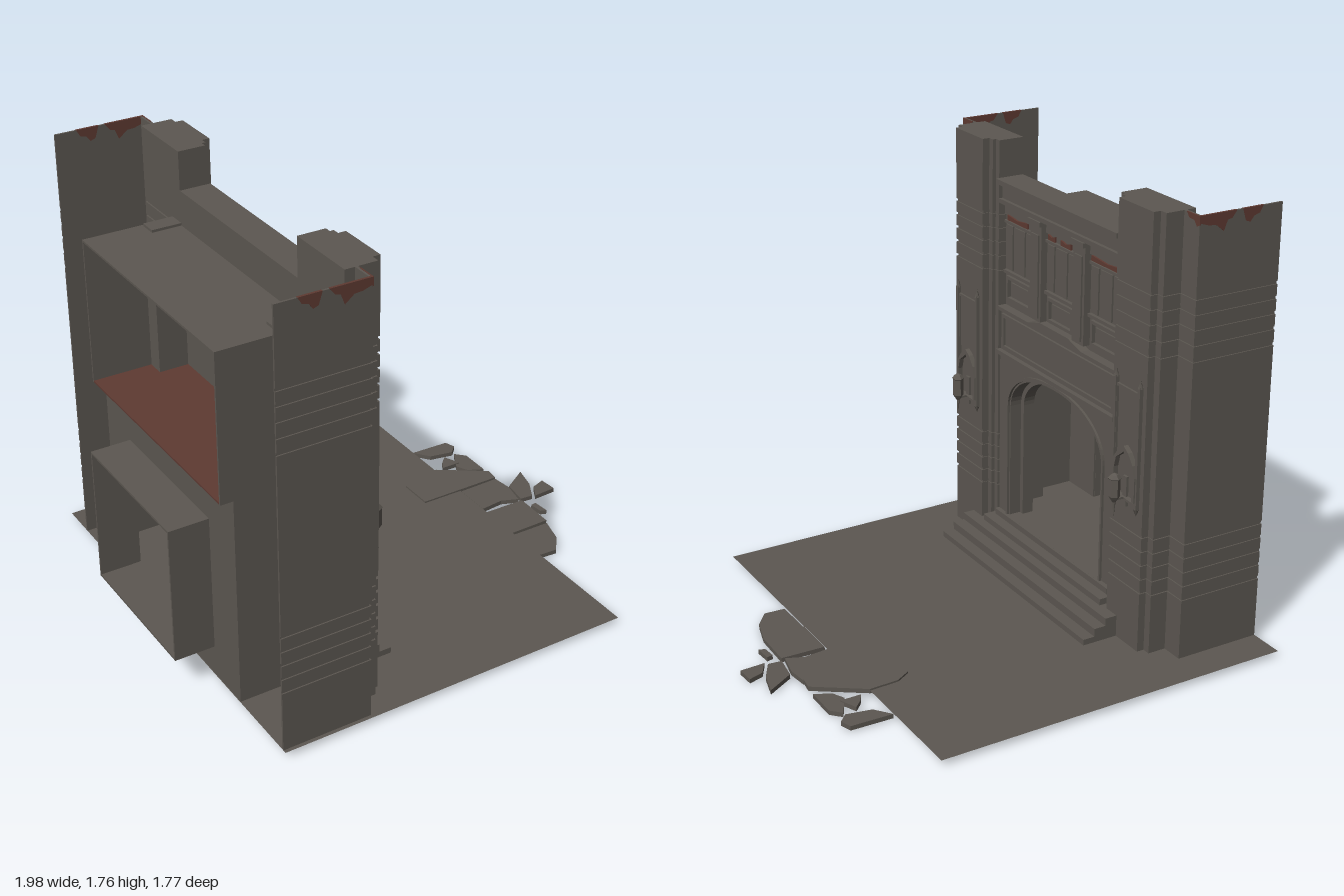
import * as THREE from 'three';

const C = 0.06; // centre line of the facade along z; the facade faces +x

export function createModel() {
  const root = new THREE.Group();
  root.name = 'ruinedGatehouse';
  const mat = (name, color) => {
    const m = new THREE.MeshStandardMaterial({ color, side: THREE.DoubleSide });
    m.name = name;
    return m;
  };
  const stone = mat('weathered stone', 0x5c5751);
  const rust = mat('exposed brick red', 0x5e3a32);

  const add = (name, geo, m = stone) => {
    const mesh = new THREE.Mesh(geo, m);
    mesh.name = name;
    root.add(mesh);
    return mesh;
  };
  // Box given by its limits; w is measured along z from the centre line
  const box = (name, x0, x1, y0, y1, w0, w1, m) => {
    const g = new THREE.BoxGeometry(x1 - x0, y1 - y0, Math.abs(w1 - w0));
    g.translate((x0 + x1) / 2, (y0 + y1) / 2, C + (w0 + w1) / 2);
    return add(name, g, m);
  };
  const V = (a) => a.map(([x, y]) => new THREE.Vector2(x, y));
  // Upright plate facing +x from (w, y) outlines
  const plate = (name, pts, x0, x1, holes = [], m) => {
    const flip = (a) => V(a.map(([w, y]) => [-(C + w), y]));
    const s = new THREE.Shape(flip(pts));
    holes.forEach((h) => s.holes.push(new THREE.Path(flip(h))));
    const g = new THREE.ExtrudeGeometry(s, { depth: x1 - x0, bevelEnabled: false });
    g.rotateY(Math.PI / 2);
    g.translate(x0, 0, 0);
    return add(name, g, m);
  };
  // Vertical prism from an (x, z) outline
  const prism = (name, pts, y0, y1, m) => {
    const s = new THREE.Shape(V(pts.map(([x, z]) => [x, -z])));
    const g = new THREE.ExtrudeGeometry(s, { depth: y1 - y0, bevelEnabled: false });
    g.rotateX(-Math.PI / 2);
    g.translate(0, y0, 0);
    return add(name, g, m);
  };
  const rect = (w0, w1, y0, y1) => [[w0, y0], [w1, y0], [w1, y1], [w0, y1]];
  const frame = (name, w0, w1, y0, y1, t, x0, x1) =>
    plate(name, rect(w0, w1, y0, y1), x0, x1, [rect(w0 + t, w1 - t, y0 + t, y1 - t)]);
  // Flattened arch outline
  const arch = (hw, spring, top, base) => {
    const pts = [[-hw, base]];
    for (let i = 0; i <= 32; i++) {
      const t = -Math.cos((i / 32) * Math.PI);
      pts.push([hw * t, spring + (top - spring) * Math.pow(Math.max(0, 1 - Math.abs(t) ** 2.3), 0.5)]);
    }
    pts.push([hw, base]);
    return pts;
  };

  // Ground sheet
  const ground = new THREE.PlaneGeometry(1.47, 1.77);
  ground.rotateX(-Math.PI / 2);
  ground.translate(-0.085, 0.026, -0.005);
  add('ground', ground);

  // Towers: stacked courses parted by narrow grooves
  const grooves = [0.277, 0.335, 0.393, 0.451, 0.509, 1.227, 1.288, 1.347, 1.404, 1.461];
  const core = [[-0.51, 0.42], [-0.4, 0.42], [-0.4, 0.445], [-0.385, 0.445], [-0.385, 0.472], [-0.355, 0.472],
    [-0.355, 0.682], [-0.385, 0.682], [-0.385, 0.715], [-0.51, 0.715]];
  const skin = (o) => [[-0.82, o], [o - 1.265, o], [o - 1.265, 0.71], [-0.472, 0.71], [-0.472, 0.797], [-0.82, 0.797]];
  for (const s of [1, -1]) {
    const place = (pts) => pts.map(([x, w]) => [x, C + s * w]);
    const coreIn = core.map(([x, w]) => [-0.43 + (x + 0.43) * 0.92, 0.57 + (w - 0.57) * 0.96]);
    let y = 0.026;
    for (const g of [...grooves, 1.766]) {
      const top = g === 1.766 ? 1.76 : g - 0.006;
      prism('towerCourse', place(core), y, top);
      prism('towerSideCourse', place(skin(0.805)), y, top);
      if (top < 1.7) {
        prism('towerGroove', place(coreIn), top, g + 0.006);
        prism('towerSideGroove', place(skin(0.8)), top, g + 0.006);
      }
      y = g + 0.006;
    }
    // Broken red patches along the tower top
    const patches = [
      [[-0.735, 1.761], [-0.72, 1.735], [-0.695, 1.728], [-0.68, 1.708], [-0.66, 1.715], [-0.645, 1.761]],
      [[-0.62, 1.761], [-0.6, 1.735], [-0.58, 1.73], [-0.565, 1.692], [-0.53, 1.72], [-0.5, 1.722], [-0.46, 1.735], [-0.46, 1.761]]];
    for (const p of patches) {
      const g = new THREE.ExtrudeGeometry(new THREE.Shape(V(p)), { depth: 0.0095, bevelEnabled: false });
      g.translate(0, 0, C + s * 0.8012 - 0.00475);
      add('sideRedPatch', g, rust);
    }
    plate('frontRedPatch', [[s * 0.73, 1.761], [s * 0.745, 1.742], [s * 0.775, 1.74], [s * 0.79, 1.72], [s * 0.806, 1.728], [s * 0.806, 1.761]],
      -0.464, -0.459, [], rust);

    // Niche panel with finials and pointed canopy
    const m = s * 0.577;
    frame('nichePanel', m - 0.078, m + 0.078, 0.62, 1.07, 0.01, -0.355, -0.346);
    for (const e of [-1, 1]) {
      const w = m + e * 0.076;
      box('nicheShaft', -0.355, -0.34, 0.61, 1.1, w - 0.007, w + 0.007);
      const tip = new THREE.ConeGeometry(0.012, 0.035, 4);
      tip.translate(-0.347, 1.112, C + w);
      add('nicheFinial', tip);
      const foot = new THREE.ConeGeometry(0.011, 0.03, 6);
      foot.rotateX(Math.PI);
      foot.translate(-0.347, 0.6, C + w);
      add('nicheFoot', foot);
    }
    const pointed = (h, top) => [[m - h, 0.64], [m - h, 0.74], [m - h * 0.8, 0.785], [m - h * 0.4, top - 0.02], [m, top],
      [m + h * 0.4, top - 0.02], [m + h * 0.8, 0.785], [m + h, 0.74], [m + h, 0.64]];
    plate('nicheArch', pointed(0.075, 0.845), -0.355, -0.335, [pointed(0.058, 0.822)]);

    // Hanging lantern
    const lathe = new THREE.LatheGeometry(V([[0, 0.56], [0.004, 0.6], [0.006, 0.625], [0.016, 0.64], [0.022, 0.65], [0.022, 0.72],
      [0.026, 0.724], [0.014, 0.738], [0, 0.745]]), 6).toNonIndexed();
    lathe.computeVertexNormals();
    lathe.translate(-0.3, 0, C + m);
    add('lantern', lathe);
    box('lanternArm', -0.355, -0.3, 0.632, 0.64, m - 0.005, m + 0.005);
    box('lanternBackplate', -0.355, -0.345, 0.6, 0.72, m - 0.012, m + 0.012);

    // Rear corner column and room side walls
    box('rearColumn', -0.63, -0.51, 0.03, 1.48, s * 0.42, s * 0.49);
    box('lowerRoomSide', -0.82, -0.51, 0.03, 0.885, s * 0.492, s * 0.5);
    box('upperRoomSide', -0.87, -0.51, 0.885, 1.47, s * 0.492, s * 0.5);
    box('vestibuleSide', -0.98, -0.82, 0.155, 0.71, s * 0.304, s * 0.312);
  }

  // Gate wall with layered arch
  plate('gateWall', rect(-0.42, 0.42, 0.16, 0.87), -0.46, -0.41, [arch(0.335, 0.66, 0.842, 0.161)]);
  plate('archReveal', rect(-0.42, 0.42, 0.16, 0.87), -0.51, -0.46, [arch(0.313, 0.66, 0.825, 0.161)]);
  plate('archMoulding', arch(0.352, 0.66, 0.862, 0.165), -0.41, -0.4, [arch(0.342, 0.66, 0.85, 0.1651)]);
  box('lowerCornice', -0.46, -0.39, 0.87, 0.888, -0.42, 0.42);

  // Sign band with raised centre
  const crest = (h, y, base, rise) => [[-h, base], [h, base], [h, y], [0.18, y], [0.1, y + rise], [-0.1, y + rise], [-0.18, y], [-h, y]];
  box('upperWall', -0.51, -0.435, 0.87, 1.6, -0.42, 0.42);
  plate('signBand', crest(0.42, 1.06, 0.888, 0.025), -0.435, -0.415);
  plate('signFrame', crest(0.405, 1.045, 0.892, 0), -0.415, -0.405, [rect(-0.388, 0.388, 0.91, 1.03)]);
  plate('signCapping', [[-0.42, 1.06], [-0.18, 1.06], [-0.1, 1.085], [0.1, 1.085], [0.18, 1.06], [0.42, 1.06],
    [0.42, 1.075], [0.19, 1.075], [0.1, 1.1], [-0.1, 1.1], [-0.19, 1.075], [-0.42, 1.075]], -0.435, -0.395);

  // Window bays
  for (const b of [-0.305, 0, 0.305]) {
    frame('sillPanel', b - 0.09, b + 0.09, 1.105, 1.207, 0.013, -0.435, -0.42);
    box('sillPanelField', -0.435, -0.428, 1.13, 1.182, b - 0.066, b + 0.066);
    box('windowSill', -0.435, -0.42, 1.215, 1.228, b - 0.11, b + 0.11);
    box('windowPanel', -0.435, -0.425, 1.235, 1.42, b - 0.04, b + 0.04);
    for (const e of [-1, 1]) box('windowSidePanel', -0.435, -0.425, 1.235, 1.42, b + e * 0.05, b + e * 0.1);
    box('windowHead', -0.435, -0.425, 1.462, 1.5, b - 0.11, b + 0.11);
    box('windowRail', -0.435, -0.422, 1.425, 1.436, b - 0.11, b + 0.11);
  }
  for (const [a, b] of [[0.25, 0.4], [0.05, 0.1], [-0.06, 0.01], [-0.14, -0.1], [-0.41, -0.2]])
    plate('redPatch', [[a, 1.437], [b, 1.437], [b, 1.458], [(a + b) / 2, 1.45], [a, 1.46]], -0.435, -0.427, [], rust);
  for (const s of [-1, 1]) {
    box('pilaster', -0.435, -0.405, 1.095, 1.49, s * 0.112, s * 0.192);
    box('pilasterFace', -0.405, -0.398, 1.11, 1.45, s * 0.125, s * 0.179);
    box('pilasterCap', -0.435, -0.392, 1.488, 1.507, s * 0.108, s * 0.196);
  }

  // Parapet
  box('parapetMoulding', -0.46, -0.4, 1.507, 1.525, -0.42, 0.42);
  box('parapet', -0.51, -0.415, 1.525, 1.588, -0.42, 0.42);
  box('parapetCoping', -0.51, -0.385, 1.588, 1.608, -0.42, 0.42);

  // Steps
  [[-0.205, 0.015, 0.05, 0.54], [-0.255, 0.05, 0.083, 0.54], [-0.305, 0.083, 0.114, 0.54], [-0.345, 0.114, 0.14, 0.44], [-0.39, 0.14, 0.165, 0.42]]
    .forEach(([x, y0, y1, h]) => box('step', -0.51, x, y0, y1, -h, h));

  // Rear rooms: lower hall, vestibule and open upper room
  box('hallFloor', -0.82, -0.5, 0.155, 0.163, -0.5, 0.5);
  plate('hallBackWall', rect(-0.5, 0.5, 0.03, 0.885), -0.82, -0.812, [rect(-0.305, 0.305, 0.163, 0.705)]);
  box('vestibuleFloor', -0.98, -0.82, 0.155, 0.163, -0.312, 0.312);
  box('vestibuleRoof', -0.98, -0.82, 0.702, 0.71, -0.312, 0.312);
  box('upperRoomFloor', -0.87, -0.51, 0.885, 0.892, -0.492, 0.492, rust);
  box('upperRoomRoof', -0.87, -0.51, 1.462, 1.47, -0.5, 0.5);

  // Broken paving slabs: [height, outline in x and z]
  const slabs = [
    [0.012, [[0.65, -0.54], [0.82, -0.535], [0.835, -0.49], [0.8, -0.455], [0.7, -0.475]]],
    [0.01, [[0.8, -0.44], [0.838, -0.4], [0.838, -0.27], [0.775, -0.3], [0.75, -0.35]]],
    [0.014, [[0.71, -0.4], [0.745, -0.435], [0.775, -0.365], [0.69, -0.365]]],
    [0.021, [[0.47, -0.32], [0.53, -0.355], [0.65, -0.36], [0.838, -0.23], [0.83, -0.175], [0.47, -0.175]]],
    [0.015, [[0.65, -0.168], [0.83, -0.172], [0.84, -0.09], [0.82, 0.008], [0.75, -0.02], [0.65, -0.01]]],
    [0.01, [[0.835, 0.005], [0.85, -0.1], [0.96, -0.168], [0.935, -0.07], [0.89, 0.01]]],
    [0.012, [[0.9, 0.02], [0.935, -0.04], [0.995, -0.06], [1.0, 0.015]]],
    [0.008, [[0.845, 0.065], [0.87, 0.06], [0.875, 0.13], [0.85, 0.12]]],
    [0.012, [[0.65, 0.015], [0.83, 0.02], [0.825, 0.195], [0.65, 0.197]]],
    [0.006, [[0.65, 0.203], [0.82, 0.205], [0.79, 0.31], [0.735, 0.38], [0.65, 0.375]]]];
  slabs.forEach(([y, pts]) => prism('pavingFragment', pts, y - 0.006, y + 0.012));

  return root;
}
